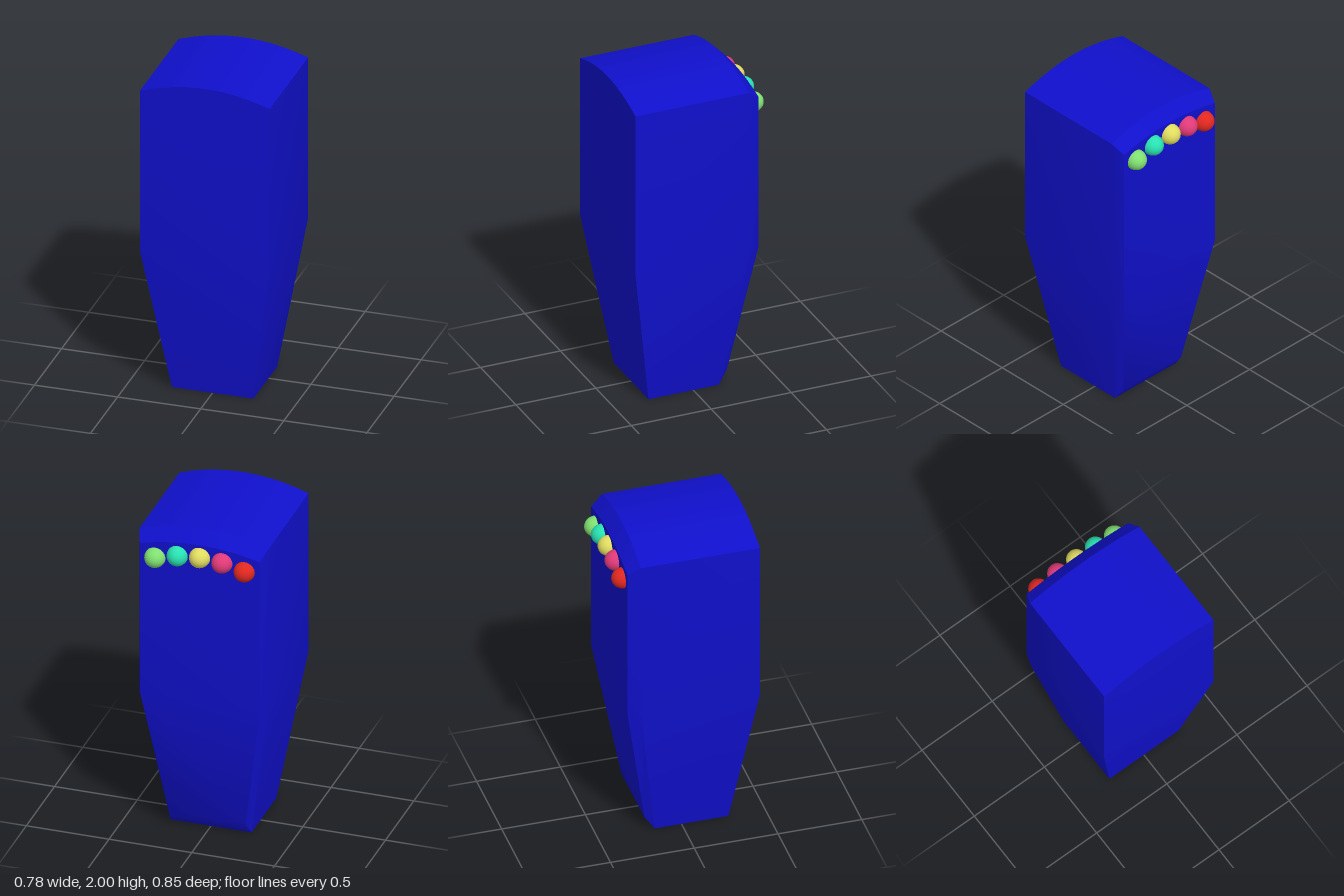
import * as THREE from 'three';
import { toCreasedNormals } from 'three/addons/utils/BufferGeometryUtils.js';

// Half-outline rows, mirrored into a closed loop running right side, top, left side
function makeLoop(rows) {
  const right = rows.map(([x, y, z]) => [x, y, z]);
  const left = rows.map(([x, y, z]) => [-x, y, z]).reverse();
  return [...right, ...left];
}

// Tapered sides, then half of the domed top
function outline(bottom, shoulder, topZ, width, endY, crownY) {
  const rows = [bottom, shoulder];
  const steps = 6;
  for (let i = 0; i < steps; i++) {
    const t = 1 - i / (steps - 0.5);
    rows.push([width * t, crownY - (crownY - endY) * t * t, topZ]);
  }
  return makeLoop(rows);
}

function bodyGeometry() {
  const loops = [
    outline([0.245, 0, 0.28], [0.39, 0.91, 0.425], 0.425, 0.39, 1.93, 2),
    outline([0.245, 0, -0.16], [0.39, 0.91, -0.285], -0.285, 0.39, 1.93, 2),
    outline([0.23, 0.08, -0.217], [0.363, 0.91, -0.357], -0.357, 0.363, 1.875, 1.923),
  ];
  const n = loops[0].length;
  const index = [];
  const quad = (a, b, c, d) => index.push(a, b, c, a, c, d);

  // Walls between neighbouring loops, including the underside and the bevel
  for (let k = 0; k < loops.length - 1; k++) {
    for (let i = 0; i < n; i++) {
      const j = (i + 1) % n;
      quad(k * n + i, (k + 1) * n + i, (k + 1) * n + j, k * n + j);
    }
  }
  // Front and back faces, bridged between mirrored points
  const back = (loops.length - 1) * n;
  for (let i = 0; i < n / 2 - 1; i++) {
    quad(i, i + 1, n - 2 - i, n - 1 - i);
    quad(back + n - 1 - i, back + n - 2 - i, back + i + 1, back + i);
  }
  const geometry = new THREE.BufferGeometry();
  geometry.setAttribute('position', new THREE.Float32BufferAttribute(loops.flat(2), 3));
  geometry.setIndex(index);
  return toCreasedNormals(geometry, 0.5);
}

export function createModel() {
  const model = new THREE.Group();
  model.name = 'taperedBlockWithBeads';

  const body = new THREE.Mesh(bodyGeometry(), new THREE.MeshStandardMaterial({ color: 0x1010cc }));
  body.name = 'body';
  model.add(body);

  // Row of coloured beads following the dome on the back
  const beads = new THREE.Group();
  beads.name = 'beads';
  const beadGeometry = new THREE.SphereGeometry(1, 32, 20);
  const colors = [0xe02820, 0xe03a78, 0xe0dc60, 0x28e0b0, 0x80e070];
  colors.forEach((color, i) => {
    const x = (i - 2) * 0.135;
    const bead = new THREE.Mesh(beadGeometry, new THREE.MeshStandardMaterial({ color }));
    bead.name = `bead${i + 1}`;
    bead.position.set(x, 1.845 - 0.62 * x * x, -0.358);
    bead.scale.set(0.062, 0.061, 0.067);
    beads.add(bead);
  });
  model.add(beads);
  return model;
}
